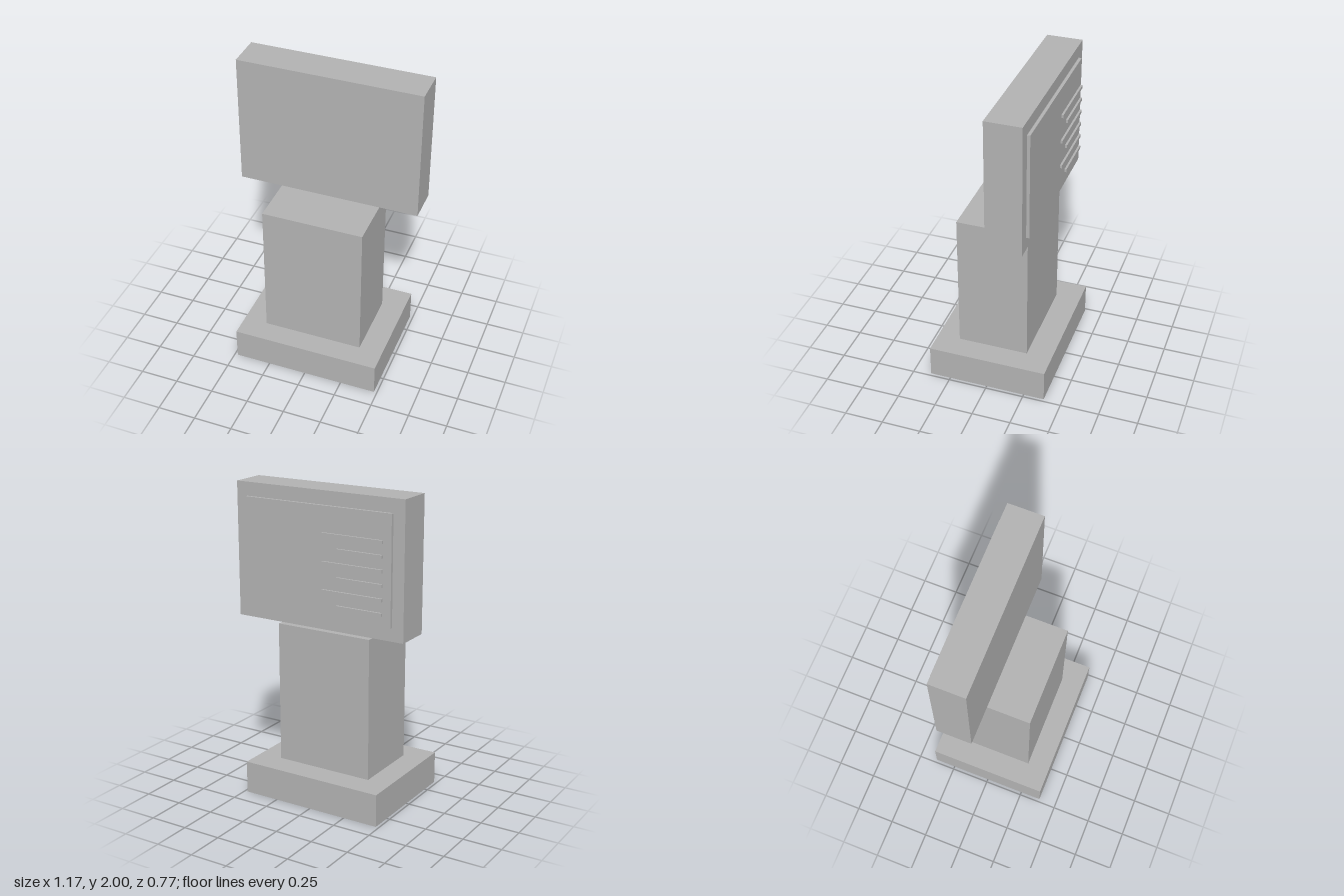
import * as THREE from 'three';

export function createModel() {
  const group = new THREE.Group();
  const grey = new THREE.MeshStandardMaterial({ color: 0xb2b2b2 });
  grey.name = 'plain grey';

  // Box given by its lower and upper limits on each axis
  function box(name, [x0, x1], [y0, y1], [z0, z1]) {
    const mesh = new THREE.Mesh(new THREE.BoxGeometry(x1 - x0, y1 - y0, z1 - z0), grey);
    mesh.position.set((x0 + x1) / 2, (y0 + y1) / 2, (z0 + z1) / 2);
    mesh.name = name;
    group.add(mesh);
  }

  // Stand
  box('base', [-0.48, 0.48], [0, 0.21], [-0.384, 0.384]);
  box('column', [-0.326, 0.326], [0.21, 1.12], [-0.219, 0.238]);

  // Display housing, hovering just above the column, with its screen at the back
  box('housing', [-0.584, 0.584], [1.152, 2], [-0.267, -0.039]);
  box('screen', [-0.508, 0.508], [1.236, 1.914], [-0.286, -0.267]);

  // Alternating long and short bars floating in front of the screen
  for (let i = 0; i < 6; i++) {
    const y = 1.748 - i * 0.0862;
    const end = i % 2 === 0 ? -0.048 : -0.15;
    box('screenBar' + (i + 1), [-0.459, end], [y - 0.01, y + 0.01], [-0.311, -0.298]);
  }

  return group;
}
